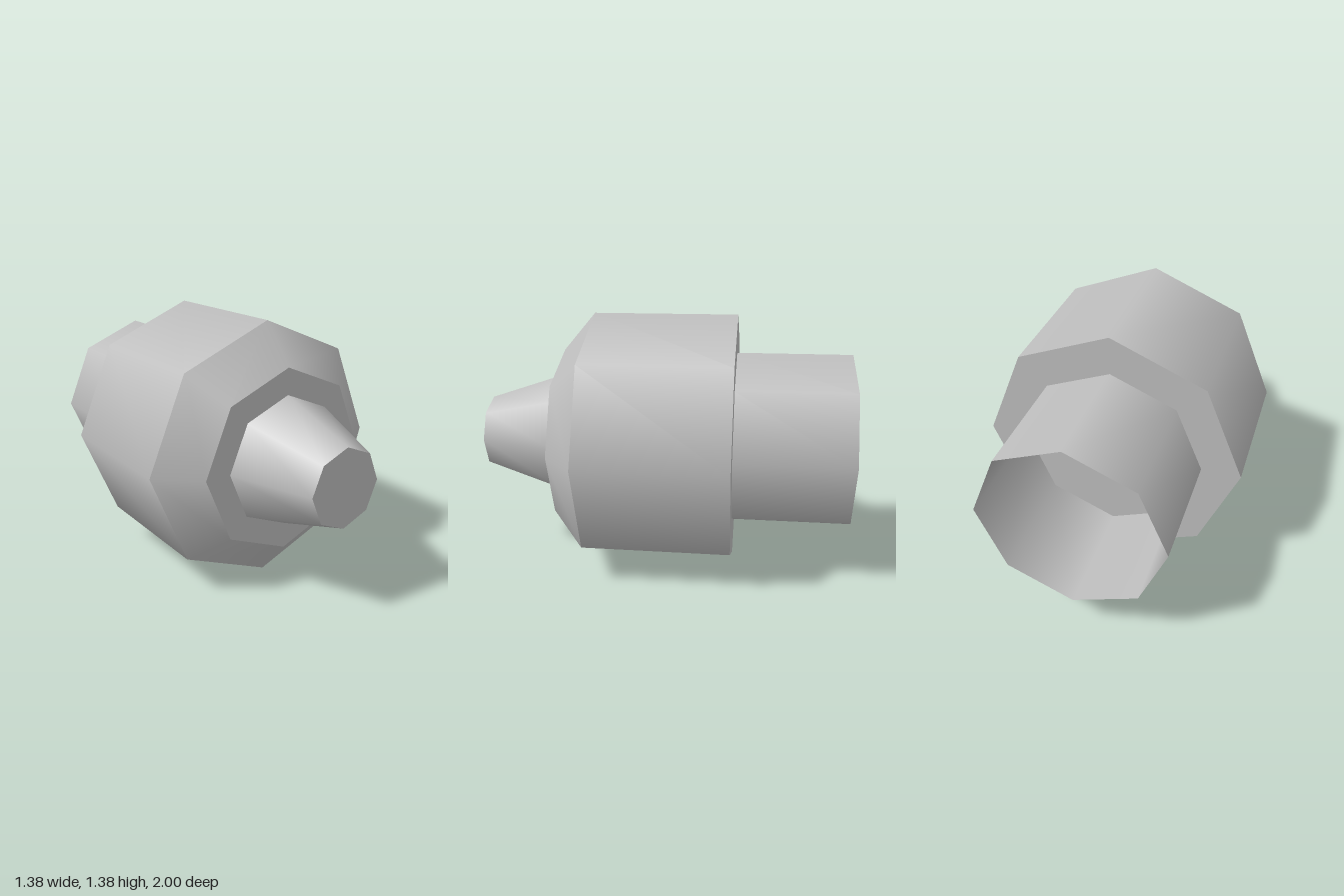
import * as THREE from 'three';

const SIDES = 8;
const AXIS_Y = 0.688;

export function createModel() {
  const model = new THREE.Group();
  model.name = 'nozzle';
  const grey = new THREE.MeshStandardMaterial({ color: 0xbfbfbf, side: THREE.DoubleSide });
  grey.name = 'grey';

  const add = (name, geometry) => {
    const mesh = new THREE.Mesh(geometry, grey);
    mesh.name = name;
    mesh.position.y = AXIS_Y;
    model.add(mesh);
  };

  // Open eight-sided sleeve along z, smooth around its axis
  const sleeve = (name, zBack, zFront, rBack, rFront) => {
    const g = new THREE.CylinderGeometry(rFront, rBack, zFront - zBack, SIDES, 1, true);
    g.rotateX(Math.PI / 2).translate(0, 0, (zFront + zBack) / 2);
    add(name, g);
  };

  // Flat eight-sided end face
  const disc = (name, z, radius, facesBack = false) => {
    const g = new THREE.CircleGeometry(radius, SIDES);
    if (facesBack) g.rotateY(Math.PI);
    add(name, g.translate(0, 0, z));
  };

  // Main body with its chamfered shoulder
  sleeve('body', -0.385, 0.395, 0.688, 0.688);
  sleeve('shoulder', 0.395, 0.57, 0.688, 0.483);
  disc('bodyBack', -0.385, 0.688, true);
  disc('shoulderFace', 0.57, 0.483);

  // Tapered tip with a closed end
  sleeve('tip', 0.57, 1, 0.345, 0.202);
  disc('tipFace', 1, 0.202);

  // Thin rear tube, open at the back
  sleeve('rearTube', -1, -0.385, 0.483, 0.483);

  return model;
}
